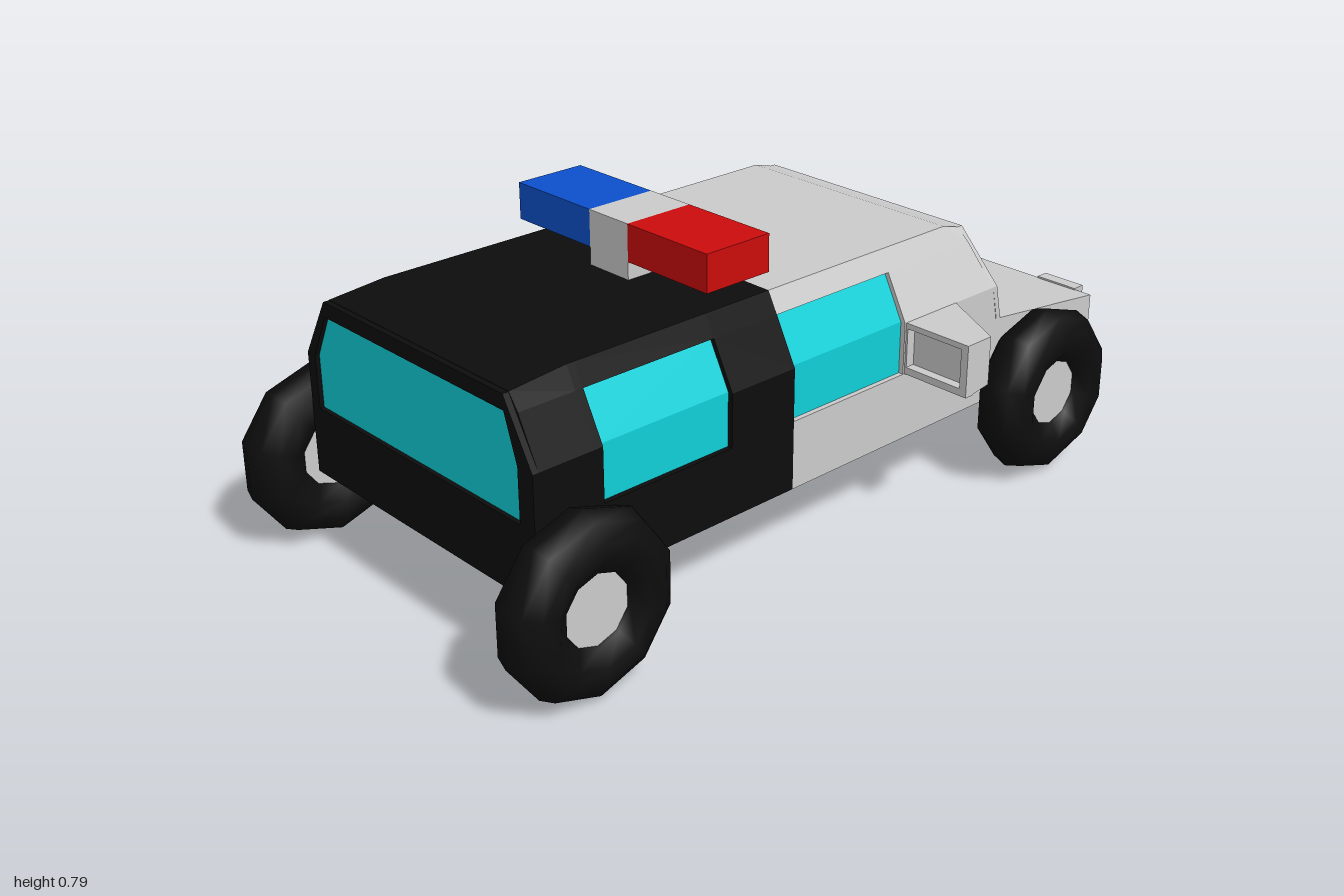
import * as THREE from 'three';
import { ConvexGeometry } from 'three/addons/geometries/ConvexGeometry.js';

const mat = (color, extra = {}) => new THREE.MeshStandardMaterial({ color, ...extra });
const grey = mat(0xcccccc, { flatShading: true });
const black = mat(0x0d0d0d, { flatShading: true });
const rubber = mat(0x0d0d0d);
const glass = mat(0x10d0d8);
const red = mat(0xcc0c0c);
const blue = mat(0x0c50cc);
const orange = mat(0xc86010);

const W = 0.405, ROOF_W = 0.32, FLOOR = 0.2, SILL = 0.37, BELT = 0.5, HEAD = 0.61;
const HEAD_W = 0.347, RECESS = 0.015;
const rake = (y) => 0.3 * Math.max(0, y - 0.41);

// Body cross-section, counter-clockwise; r sinks the window band
function section(top, r) {
  const half = [[W, FLOOR], [W, SILL], [W - r, SILL], [W - r, BELT], [HEAD_W - r, HEAD], [HEAD_W, HEAD], [ROOF_W, top]];
  return [...half, ...half.map(([x, y]) => [-x, y]).reverse()];
}

// Skin through stations { z, top, r, raked } listed from low z to high z
function loft(stations) {
  const rings = stations.map(({ z, top = 0.66, r = 0, raked = false }) =>
    section(top, r).map(([x, y]) => [x, y, z + (raked ? rake(y) : 0)]));
  const n = rings[0].length, pos = [];
  const tri = (a, b, c) => pos.push(...a, ...b, ...c);
  for (let i = 0; i < rings.length - 1; i++) {
    for (let j = 0; j < n; j++) {
      const k = (j + 1) % n, A = rings[i], B = rings[i + 1];
      tri(A[j], A[k], B[k]);
      tri(A[j], B[k], B[j]);
    }
  }
  const first = rings[0], last = rings[rings.length - 1];
  for (let j = 1; j < n - 1; j++) {
    tri(first[0], first[j + 1], first[j]);
    tri(last[0], last[j], last[j + 1]);
  }
  const g = new THREE.BufferGeometry();
  g.setAttribute('position', new THREE.Float32BufferAttribute(pos, 3));
  g.computeVertexNormals();
  return g;
}

const shapeOf = (pts) => new THREE.Shape(pts.map(([x, y]) => new THREE.Vector2(x, y)));
const rect = (x0, y0, x1, y1) => [[x0, y0], [x1, y0], [x1, y1], [x0, y1]];

// Flat plate with optional hole, thickness along +z
function plate(pts, depth, hole) {
  const s = shapeOf(pts);
  if (hole) s.holes.push(shapeOf(hole));
  return new THREE.ExtrudeGeometry(s, { depth, bevelEnabled: false });
}

// Lean a plate back with the windscreen
function lean(g) {
  const p = g.attributes.position;
  for (let i = 0; i < p.count; i++) p.setZ(i, p.getZ(i) + rake(p.getY(i)));
  g.computeVertexNormals();
  return g;
}

export function createModel() {
  const model = new THREE.Group();
  const add = (name, geometry, material, x = 0, y = 0, z = 0, parent = model) => {
    const m = new THREE.Mesh(geometry, material);
    m.name = name;
    m.position.set(x, y, z);
    parent.add(m);
    return m;
  };
  const box = (name, material, x0, x1, y0, y1, z0, z1) =>
    add(name, new THREE.BoxGeometry(x1 - x0, y1 - y0, z1 - z0), material, (x0 + x1) / 2, (y0 + y1) / 2, (z0 + z1) / 2);

  // Two-tone body
  add('blackBody', loft([
    { z: 0.13 }, { z: 0.32 }, { z: 0.32, r: RECESS }, { z: 0.68, r: RECESS },
    { z: 0.68 }, { z: 0.7 }, { z: 0.845, top: 0.647 },
  ]), black);
  add('greyCabin', loft([
    { z: -0.585, top: 0.645, raked: true }, { z: -0.46 }, { z: -0.235 },
    { z: -0.235, r: RECESS }, { z: 0.13, r: RECESS },
  ]), grey);

  // Sloping hood, drawn as a side profile and turned across the body
  const hood = plate([[0.5, FLOOR], [0.97, FLOOR], [0.97, 0.365], [0.6, 0.41], [0.5, 0.41]], 2 * W);
  hood.rotateY(Math.PI / 2);
  add('hood', hood, grey, -W);

  // Large end window with its frame
  const endWindow = [[-0.375, SILL], [0.357, SILL], [0.357, BELT], [0.32, HEAD], [-0.32, HEAD], [-0.375, BELT]];
  const endOutline = [[-W, FLOOR], [W, FLOOR], [W, BELT], [ROOF_W, 0.646], [-ROOF_W, 0.646], [-W, BELT]];
  add('endWindowFrame', plate(endOutline, RECESS, endWindow), black, 0, 0, 0.845);
  add('endWindow', plate(endWindow, 0.004), glass, 0, 0, 0.845);

  // Raked windscreen with its frame
  const screen = [[-0.375, 0.42], [0.375, 0.42], [0.375, BELT], [0.325, HEAD], [-0.325, HEAD], [-0.375, BELT]];
  const screenOutline = [[-W, 0.38], [W, 0.38], [W, BELT], [ROOF_W, 0.645], [-ROOF_W, 0.645], [-W, BELT]];
  add('windscreenFrame', lean(plate(screenOutline, RECESS, screen)), grey, 0, 0, -0.6);
  add('windscreen', lean(plate(screen, 0.006)), glass, 0, 0, -0.59);

  for (const s of [1, -1]) {
    const side = s > 0 ? 'left' : 'right';

    // Side windows, bent at the belt line
    const pane = [[0.3, SILL], [0.392, SILL], [0.392, BELT], [0.334, HEAD], [0.3, HEAD]].map(([x, y]) => [s * x, y]);
    for (const [z0, z1] of [[-0.235, 0.13], [0.32, 0.68]])
      add(side + 'SideWindow', plate(pane, z1 - z0), glass, 0, 0, z0);

    // Wedge-shaped wing mirror with a hollow face
    const mirror = new THREE.Group();
    mirror.name = side + 'Mirror';
    model.add(mirror);
    const corners = [
      [0.4, 0.372, -0.265], [0.4, 0.5, -0.265], [0.59, 0.372, -0.265], [0.59, 0.5, -0.265],
      [0.59, 0.38, -0.32], [0.59, 0.5, -0.32], [0.4, 0.39, -0.42], [0.4, 0.5, -0.42],
    ].map(([x, y, z]) => new THREE.Vector3(s * x, y, z));
    add('mirrorHousing', new ConvexGeometry(corners), grey, 0, 0, 0, mirror);
    const rim = rect(0.4, 0.37, 0.59, 0.5).map(([x, y]) => [s * x, y]);
    const opening = rect(0.41, 0.388, 0.57, 0.486).map(([x, y]) => [s * x, y]);
    add('mirrorRim', plate(rim, 0.025, opening), grey, 0, 0, -0.265, mirror);

    // Headlight: frame and sunken lamp
    const cx = s > 0 ? 0.298 : -0.312;
    add(side + 'HeadlightFrame', plate(rect(-0.06, 0.298, 0.06, 0.37), 0.035,
      rect(-0.045, 0.312, 0.045, 0.357)), grey, cx, 0, -1);
    box(side + 'Headlight', orange, cx - 0.046, cx + 0.046, 0.311, 0.358, -0.985, -0.965);

    // Wheels: ten-sided tyre and flat hub
    for (const z of [0.795, -0.685]) {
      const wheel = new THREE.Group();
      wheel.name = side + 'Wheel';
      wheel.position.set(s * 0.476, 0.215, z);
      wheel.rotation.y = Math.PI / 2;
      model.add(wheel);
      add('tyre', new THREE.TorusGeometry(0.144, 0.071, 10, 10).rotateZ(Math.PI / 10), rubber, 0, 0, 0, wheel);
      add('hub', new THREE.CylinderGeometry(0.1, 0.1, 0.07, 10).rotateX(Math.PI / 2), grey, 0, 0, 0, wheel);
    }
  }

  // Roof light bar
  box('blueLight', blue, -0.32, -0.065, 0.703, 0.793, 0.13, 0.315);
  box('lightBarMount', grey, -0.065, 0.065, 0.65, 0.793, 0.13, 0.315);
  box('redLight', red, 0.065, 0.32, 0.703, 0.793, 0.13, 0.315);

  return model;
}
